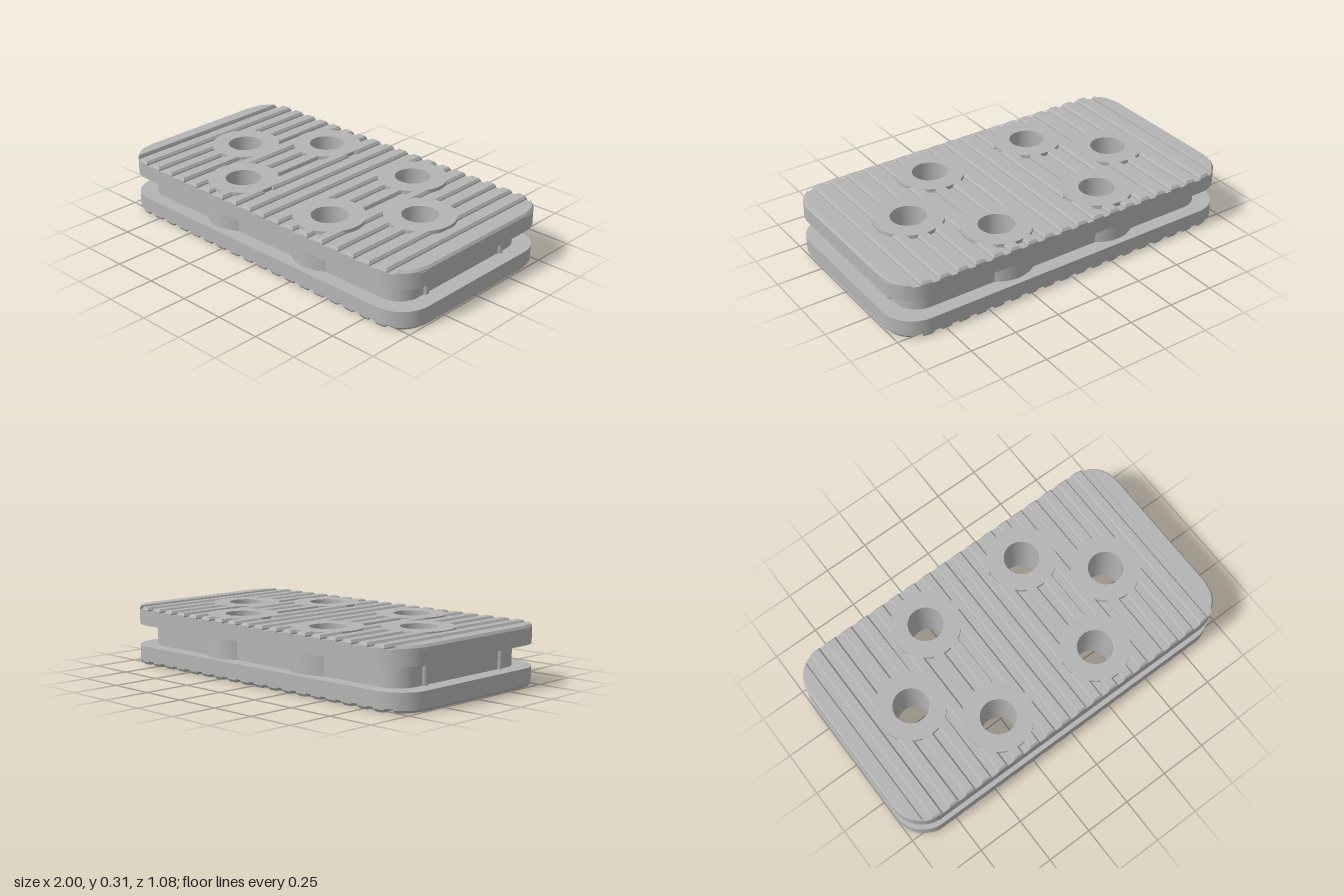
import * as THREE from 'three';
import { toCreasedNormals } from 'three/addons/utils/BufferGeometryUtils.js';

const HALF_X = 1, HALF_Z = 0.54, CORNER = 0.17;
const HEIGHT = 0.312, PLATE_Y = 0.214, GROOVE_Y = 0.292;
const HOLE_R = 0.093, BOSS_R = 0.183, PITCH = 0.1, GROOVE_HALF = 0.024;
const HOLES = [[-0.627, 0], [0.627, 0], [-0.31, 0.312], [0.31, 0.312], [-0.31, -0.312], [0.31, -0.312]];

const metal = new THREE.MeshStandardMaterial({ color: 0xb4b4b4 });
metal.name = 'grey metal';

function circle(x, y, r, Type = THREE.Path) {
  const c = new Type();
  c.absarc(x, y, r, 0, Math.PI * 2, false);
  return c;
}

function roundedRect(hx, hz, r) {
  const s = new THREE.Shape();
  s.absarc(hx - r, hz - r, r, 0, Math.PI / 2, false);
  s.absarc(-hx + r, hz - r, r, Math.PI / 2, Math.PI, false);
  s.absarc(-hx + r, -hz + r, r, Math.PI, Math.PI * 1.5, false);
  s.absarc(hx - r, -hz + r, r, Math.PI * 1.5, Math.PI * 2, false);
  s.closePath();
  return s;
}

// Extrudes outlines upwards from y0 to y1, optionally with a chamfered top edge
function slab(name, shapes, y0, y1, chamfer = 0) {
  const geo = new THREE.ExtrudeGeometry(shapes, {
    depth: y1 - y0 - chamfer * 2, curveSegments: 20, bevelEnabled: chamfer > 0,
    bevelThickness: chamfer, bevelSize: chamfer * 0.7, bevelOffset: -chamfer * 0.7, bevelSegments: 1,
  });
  geo.rotateX(-Math.PI / 2).translate(0, y0 + chamfer, 0);
  const mesh = new THREE.Mesh(toCreasedNormals(geo, 0.5), metal);
  mesh.name = name;
  return mesh;
}

// Half depth of the plate at a given x, following its round corners
function edgeZ(x) {
  const d = Math.max(0, Math.abs(x) - (HALF_X - CORNER));
  return HALF_Z - CORNER + Math.sqrt(Math.max(0, CORNER * CORNER - d * d));
}

// Raised strip between two grooves, split into pieces around the holes
function stripShapes(x0, x1) {
  const r = 0.13;
  const edges = [(x) => -edgeZ(x)];
  HOLES.filter(([cx]) => cx > x0 - r && cx < x1 + r).sort((a, b) => a[1] - b[1]).forEach(([cx, cz]) => {
    const chord = (x) => Math.sqrt(Math.max(0.0009, r * r - (x - cx) ** 2));
    edges.push((x) => cz - chord(x), (x) => cz + chord(x));
  });
  edges.push(edgeZ);
  const pieces = [];
  for (let i = 0; i < edges.length; i += 2) {
    const low = [], high = [];
    for (let k = 0; k <= 6; k++) {
      const x = x0 + (x1 - x0) * k / 6;
      low.push(new THREE.Vector2(x, edges[i](x)));
      high.unshift(new THREE.Vector2(x, edges[i + 1](x)));
    }
    pieces.push(new THREE.Shape([...low, ...high]));
  }
  return pieces;
}

const ringShapes = (holes, outer) => holes.map(([x, z]) => {
  const s = circle(x, z, outer, THREE.Shape);
  s.holes.push(circle(x, z, HOLE_R));
  return s;
});

// One outer plate: body, tread strips and smooth lands around the holes
function makePlate(name) {
  const plate = new THREE.Group();
  plate.name = name;
  const body = roundedRect(HALF_X, HALF_Z, CORNER);
  body.holes = HOLES.map(([x, z]) => circle(x, z, HOLE_R));
  plate.add(slab('plateBody', body, PLATE_Y, GROOVE_Y));
  const strips = [];
  for (let i = -10; i < 10; i++) {
    const x0 = i === -10 ? -HALF_X : i * PITCH + GROOVE_HALF - 0.005;
    const x1 = i === 9 ? HALF_X : (i + 1) * PITCH - GROOVE_HALF + 0.005;
    strips.push(...stripShapes(x0, x1));
  }
  plate.add(slab('treadStrips', strips, GROOVE_Y - 0.016, HEIGHT, 0.013));
  plate.add(slab('holeLands', ringShapes(HOLES, BOSS_R), GROOVE_Y, HEIGHT));
  return plate;
}

export function createModel() {
  const model = new THREE.Group();
  model.name = 'groovedBlock';

  // Upper plate and its flipped copy below
  model.add(makePlate('topPlate'));
  const bottom = makePlate('bottomPlate');
  bottom.rotation.x = Math.PI;
  bottom.position.y = HEIGHT;
  model.add(bottom);

  // Recessed core, with bosses bulging out around the outer holes
  const y0 = HEIGHT - PLATE_Y, y1 = PLATE_Y;
  const core = roundedRect(0.912, 0.462, 0.12);
  core.holes = HOLES.map(([x, z]) => circle(x, z, HOLE_R));
  model.add(slab('core', core, y0, y1));
  model.add(slab('coreBosses', ringShapes(HOLES.slice(2), 0.19), y0, y1));

  // Small upright ribs on both ends of the core
  for (const sx of [-1, 1]) for (const sz of [-1, 1]) {
    const rib = new THREE.Mesh(new THREE.CylinderGeometry(0.018, 0.018, y1 - y0, 16), metal);
    rib.name = 'endRib';
    rib.position.set(sx * 0.908, HEIGHT / 2, sz * 0.285);
    model.add(rib);
  }
  return model;
}
